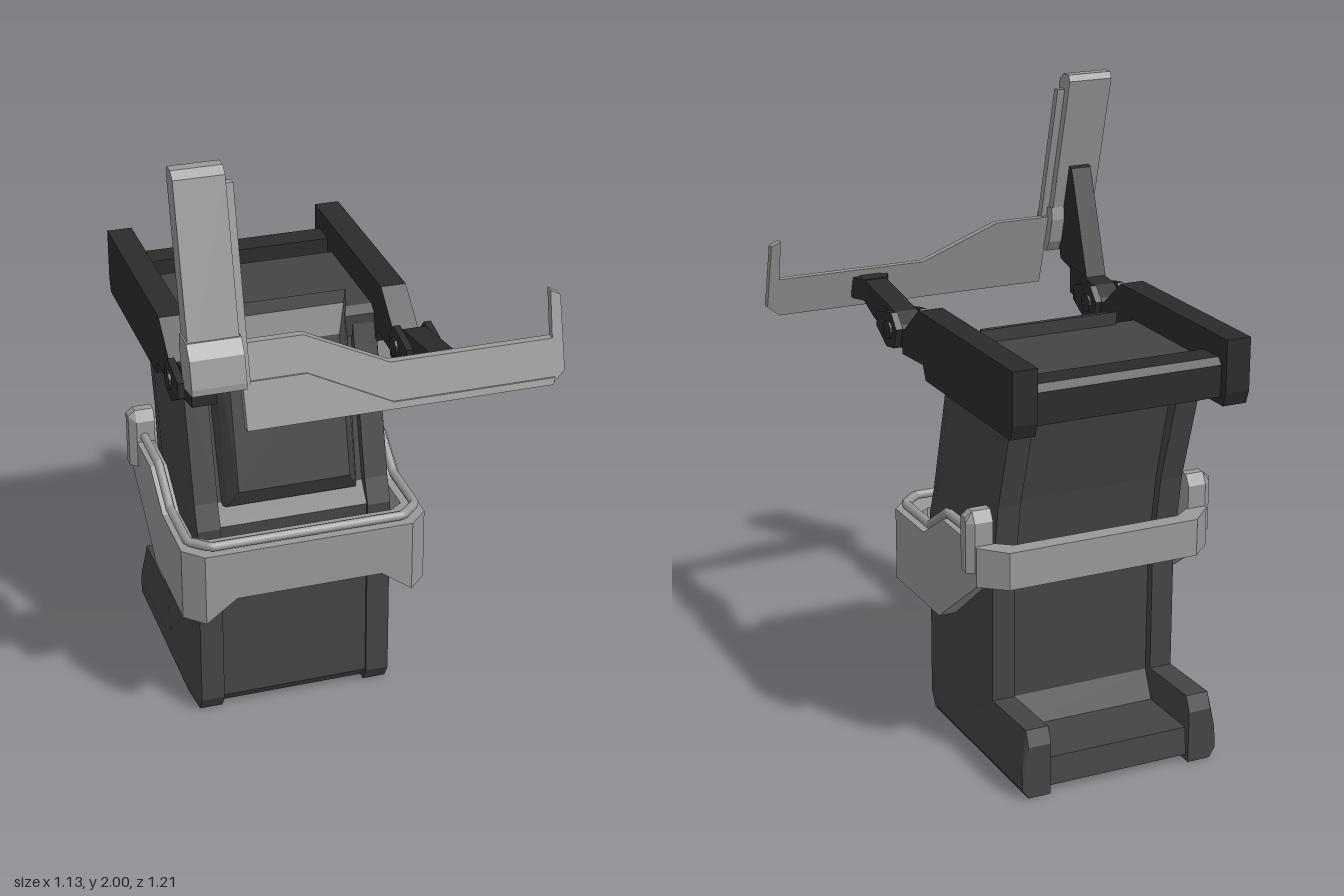
import * as THREE from 'three';

const mat = (color) => new THREE.MeshStandardMaterial({ color, flatShading: true, roughness: 0.8 });
const LIGHT = mat(0x999999), BODY = mat(0x444444), ARM = mat(0x2b2b2b);
const CX = -0.135; // middle of the body

// Skin a run of equal-length rings; capped at both ends unless the run is closed
function loft(rings, closed = false) {
  const n = rings[0].length, m = rings.length, pts = rings.flat(), tris = [];
  for (let i = 0; i < (closed ? m : m - 1); i++) {
    for (let j = 0; j < n; j++) {
      const a = i * n + j, b = i * n + (j + 1) % n, k = ((i + 1) % m) * n;
      tris.push([a, b, k + (j + 1) % n], [a, k + (j + 1) % n, k + j]);
    }
  }
  const cap = (ring, first, last) => {
    const ext = [0, 1, 2].map((k) => {
      const v = ring.map((p) => p[k]);
      return Math.max(...v) - Math.min(...v);
    });
    const drop = ext.indexOf(Math.min(...ext)), [u, w] = [0, 1, 2].filter((k) => k !== drop);
    const flat = ring.map((p) => new THREE.Vector2(p[u], p[w]));
    const turn = Math.sign(THREE.ShapeUtils.area(flat));
    for (const [a, b, c] of THREE.ShapeUtils.triangulateShape(flat, [])) {
      const same = THREE.ShapeUtils.area([flat[a], flat[b], flat[c]]) * turn > 0;
      const f = (same === last ? [a, b, c] : [a, c, b]).map((v) => v + first);
      tris.push(f);
    }
  };
  if (!closed) {
    cap(rings[0], 0, false);
    cap(rings[m - 1], (m - 1) * n, true);
  }
  // Turn the skin outward
  const V = pts.map((p) => new THREE.Vector3(...p));
  const vol = tris.reduce((s, [a, b, c]) => s + V[a].dot(V[b].clone().cross(V[c])), 0);
  const idx = tris.flatMap(([a, b, c]) => (vol < 0 ? [a, c, b] : [a, b, c]));
  let g = new THREE.BufferGeometry();
  g.setAttribute('position', new THREE.Float32BufferAttribute(pts.flat(), 3));
  g.setIndex(idx);
  g = g.toNonIndexed();
  g.computeVertexNormals();
  return g;
}

// Side profile of [z, y] points placed at one x
const at = (profile, x) => profile.map(([z, y]) => [x, y, z]);
const slab = (profile, x0, x1) => loft([at(profile, x0), at(profile, x1)]);

// Lean a geometry forward towards its foot
function lean(g, slope, y0, z0) {
  const p = g.attributes.position;
  for (let i = 0; i < p.count; i++) p.setZ(i, p.getZ(i) + z0 - slope * (p.getY(i) - y0));
  g.computeVertexNormals();
  return g;
}

export function createModel() {
  const model = new THREE.Group();
  const group = (name, x) => {
    const g = new THREE.Group();
    g.name = name;
    g.position.x = x;
    model.add(g);
    return g;
  };
  const body = group('body', CX), beltGroup = group('beltGroup', CX + 0.006);
  const add = (parent, name, geo, material) => {
    const mesh = new THREE.Mesh(geo, material);
    mesh.name = name;
    parent.add(mesh);
    return mesh;
  };

  // Central body with its low foot floor
  add(body, 'bodyCore', slab([
    [0.13, 0.02], [0.15, 0.05], [0.15, 0.68], [0.1, 0.74], [-0.03, 1.25], [-0.42, 1.25], [-0.4, 1.18],
    [-0.32, 0.87], [-0.28, 0.6], [-0.28, 0.2], [-0.32, 0.11], [-0.54, 0.11], [-0.55, 0.02],
  ], -0.26, 0.26), BODY);

  // Raised front panel with a stepped bevel, its top standing above the deck
  const rect = (hw, yb, zb, yt, zt) => [[-hw, yb, zb], [hw, yb, zb], [hw, yt, zt], [-hw, yt, zt]];
  add(body, 'frontPanel', loft([
    rect(0.235, 0.72, 0.07, 1.335, -0.06), rect(0.21, 0.735, 0.125, 1.32, 0), rect(0.18, 0.8, 0.16, 1.24, 0.05),
  ]), BODY);

  // Side columns running down into the foot, with wide bevelled outer faces
  const outer = [
    [0.13, 0], [0.16, 0.05], [0.16, 0.68], [0.13, 0.76], [0, 1.24], [-0.45, 1.2],
    [-0.35, 0.87], [-0.31, 0.6], [-0.31, 0.215], [-0.545, 0.22], [-0.565, 0.17], [-0.565, 0],
  ];
  const inner = [
    [0.06, 0.03], [0.065, 0.05], [0.065, 0.7], [0.06, 0.76], [-0.06, 1.23], [-0.3, 1.2],
    [-0.21, 0.87], [-0.145, 0.6], [-0.165, 0.105], [-0.545, 0.105], [-0.56, 0.1], [-0.565, 0.03],
  ];
  // Top rails, hinges and links share one layout on both sides
  const rail = [
    [-0.605, 1.385], [-0.605, 1.22], [-0.59, 1.175], [0.01, 1.175], [0.03, 1.22], [0.19, 1.21], [0.19, 1.28], [0.06, 1.385],
  ];
  const knuckle = [[0.19, 1.29], [0.23, 1.335], [0.29, 1.325], [0.35, 1.31], [0.35, 1.26], [0.27, 1.215], [0.21, 1.225]];
  const shortLink = [[0.17, 1.275], [0.2, 1.3], [0.25, 1.33], [0.42, 1.355], [0.42, 1.265], [0.3, 1.24], [0.17, 1.22]];
  const longLink = [[0.17, 1.275], [0.2, 1.3], [0.25, 1.33], [0.55, 1.375], [0.55, 1.315], [0.43, 1.265], [0.3, 1.24], [0.17, 1.22]];
  for (const s of [-1, 1]) {
    add(body, 'sideColumn', loft([at(outer, s * 0.24), at(outer, s * 0.315), at(inner, s * 0.335)]), BODY);
    const c = s * 0.35;
    add(body, 'topRail', slab(rail, c - 0.04, c + 0.04), ARM);
    for (const t of [-1, 1]) add(body, 'hingeCheek', slab(knuckle, c + t * 0.038, c + t * 0.06), ARM);
    add(body, 'hingePin', new THREE.CylinderGeometry(0.03, 0.03, 0.136, 12).rotateZ(Math.PI / 2).translate(c, 1.275, 0.25), ARM);
    add(body, 'link', slab(s < 0 ? shortLink : longLink, c - 0.037, c + 0.037), ARM);
  }
  // Flared foot where the long link meets the bar
  const pad = (hw, z) => [[0.215 - hw, 1.3, z], [0.215 + hw, 1.3, z], [0.215 + hw, 1.37, z], [0.215 - hw, 1.37, z]];
  add(model, 'linkFlare', loft([pad(0.037, 0.5), pad(0.06, 0.54), pad(0.06, 0.56)]), ARM);

  // Deck and rear crossbar between the rails
  add(body, 'topDeck', slab([[0, 1.2], [0, 1.27], [-0.03, 1.29], [-0.43, 1.29], [-0.41, 1.18]], -0.312, 0.312), BODY);
  add(body, 'rearCrossbar', slab([[-0.47, 1.32], [-0.555, 1.32], [-0.575, 1.3], [-0.575, 1.2], [-0.47, 1.2]], -0.312, 0.312), ARM);

  // Belt: [outer x, outer z, inner x, inner z, bottom, top] along one half, then mirrored
  const half = [
    [0, 0.3, 0, 0.2, 0.51, 0.675], [0.235, 0.3, 0.235, 0.2, 0.51, 0.675], [0.335, 0.3, 0.3, 0.2, 0.435, 0.675],
    [0.395, 0.24, 0.34, 0.17, 0.435, 0.675], [0.395, 0.015, 0.34, 0.015, 0.435, 0.675],
    [0.395, -0.1, 0.34, -0.1, 0.435, 0.75], [0.395, -0.13, 0.34, -0.13, 0.458, 0.77],
    [0.395, -0.38, 0.34, -0.36, 0.64, 0.767], [0.32, -0.455, 0.28, -0.4, 0.645, 0.765], [0, -0.455, 0, -0.4, 0.645, 0.765],
  ];
  const mirrored = half.slice(1, -1).reverse().map(([a, b, c, ...r]) => [-a, b, -c, ...r]);
  const section = ([ox, oz, ix, iz, b, t]) => [[ox, b, oz], [ox, t, oz], [ix, t, iz], [ix, b, iz]];
  add(beltGroup, 'belt', loft([...half, ...mirrored].map(section), true), LIGHT);

  // Rod following the belt's upper edge, built of straight runs
  const rod = [[0.37, 0.785, -0.32], [0.37, 0.785, -0.115], [0.37, 0.695, 0.02], [0.37, 0.695, 0.22], [0.31, 0.695, 0.275]];
  const run = [...rod, ...rod.map(([x, y, z]) => [-x, y, z]).reverse()].map((p) => new THREE.Vector3(...p));
  const path = new THREE.CurvePath();
  for (let i = 1; i < run.length; i++) path.add(new THREE.LineCurve3(run[i - 1], run[i]));
  const rodMesh = add(beltGroup, 'beltRod', new THREE.TubeGeometry(path, 120, 0.015, 8), LIGHT.clone());
  rodMesh.material.flatShading = false;

  // Tabs that hold the rod ends
  for (const s of [-1, 1]) {
    const tab = (x, inset) => [
      [-0.3 - inset, 0.68], [-0.3 - inset, 0.84], [-0.32, 0.875 - inset], [-0.35, 0.875 - inset],
      [-0.37 + inset, 0.84], [-0.37 + inset, 0.68],
    ].map(([z, y]) => [s * x, y, z]);
    add(beltGroup, 'rodTab', loft([tab(0.335, 0), tab(0.395, 0), tab(0.418, 0.018)]), LIGHT);
  }

  // Leaning front bar with upright tip
  const plate = (pts, depth) => new THREE.ExtrudeGeometry(
    new THREE.Shape(pts.map((p) => new THREE.Vector2(...p))), { depth, bevelEnabled: false });
  add(model, 'frontBar', lean(plate([
    [-0.41, 1.265], [0.52, 1.265], [0.562, 1.3], [0.565, 1.515], [0.535, 1.53], [0.53, 1.395], [0.03, 1.395],
    [-0.22, 1.505], [-0.41, 1.505],
  ], 0.025), 0.3, 1.265, 0.575), LIGHT);
  // Folded lower lip of the bar
  add(model, 'barLip', lean(plate([
    [-0.41, 1.265], [0.52, 1.265], [0.53, 1.285], [0.03, 1.285], [-0.22, 1.4], [-0.41, 1.4],
  ], 0.013), 0.3, 1.265, 0.592), LIGHT);

  // Leaning upright board with its side strip and sleeve
  const X = -0.488;
  const board = [[0.035, 1.45], [0.035, 1.98], [0.015, 2], [-0.02, 2], [-0.035, 1.98], [-0.035, 1.45]];
  add(model, 'uprightBoard', lean(slab(board, X - 0.075, X + 0.075), 0.26, 2, 0.395), LIGHT);
  add(model, 'boardStrip', lean(new THREE.BoxGeometry(0.03, 0.56, 0.025).translate(X + 0.085, 1.67, 0), 0.26, 2, 0.4), LIGHT);
  const sleeve = [[0.05, 1.4], [0.055, 1.42], [0.055, 1.5], [0.035, 1.54], [-0.04, 1.54], [-0.055, 1.5], [-0.055, 1.42], [-0.04, 1.385]];
  add(model, 'boardSleeve', lean(slab(sleeve, X - 0.08, X + 0.08), 0.26, 2, 0.4), LIGHT);

  // Wedge brace behind the board
  const brace = [[0.46, 1.69], [0.425, 1.68], [0.31, 1.34], [0.4, 1.335], [0.5, 1.36], [0.52, 1.45]];
  add(model, 'boardBrace', slab(brace, X - 0.035, X + 0.035), ARM);

  return model;
}
